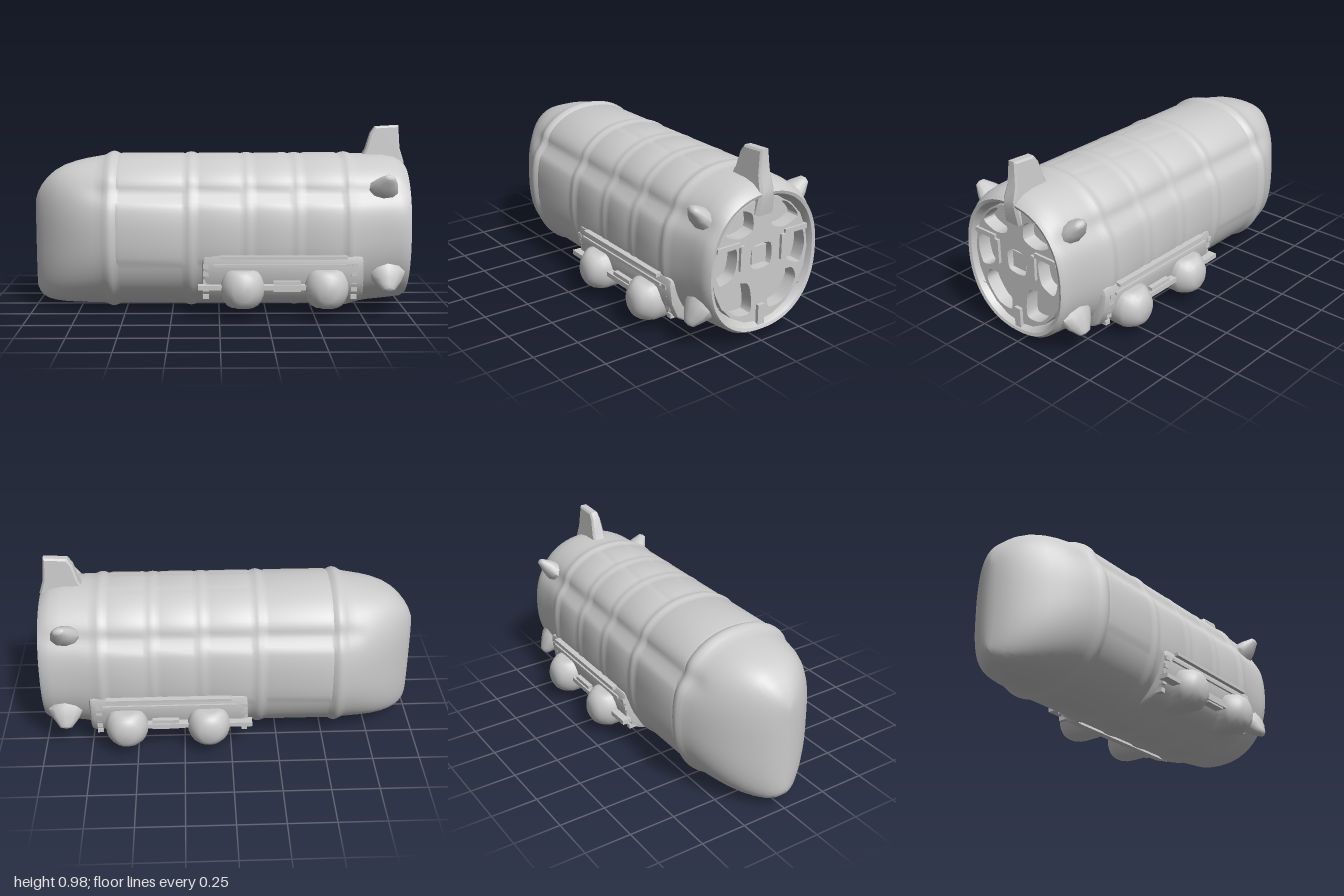
import * as THREE from 'three';
import { toCreasedNormals } from 'three/addons/utils/BufferGeometryUtils.js';

const grey = new THREE.MeshStandardMaterial({ color: 0xcccccc });

function part(parent, name, geometry, crease = 0.6) {
  const mesh = new THREE.Mesh(toCreasedNormals(geometry, crease), grey);
  mesh.name = name;
  parent.add(mesh);
  return mesh;
}

function box(parent, name, x0, x1, y0, y1, z0, z1) {
  const g = new THREE.BoxGeometry(x1 - x0, y1 - y0, z1 - z0);
  g.translate((x0 + x1) / 2, (y0 + y1) / 2, (z0 + z1) / 2);
  return part(parent, name, g);
}

// Outline in (-z, y), extruded along +x from x0 to x1
function extrudeX(shape, x0, x1, bevel = 0) {
  const g = new THREE.ExtrudeGeometry(shape, {
    depth: x1 - x0 - 2 * bevel, curveSegments: 10, bevelEnabled: bevel > 0,
    bevelThickness: bevel, bevelSize: bevel, bevelOffset: -bevel, bevelSegments: 2,
  });
  return g.rotateY(Math.PI / 2).translate(x0 + bevel, 0, 0);
}

// Hull stations: x, bottom, top, half width
const NOSE = [
  [-1, 0.13, 0.57, 0], [-0.995, 0.105, 0.6, 0.035], [-0.98, 0.08, 0.64, 0.08],
  [-0.96, 0.06, 0.675, 0.115], [-0.93, 0.046, 0.712, 0.155], [-0.89, 0.038, 0.748, 0.2],
  [-0.84, 0.033, 0.776, 0.245], [-0.78, 0.03, 0.797, 0.287], [-0.72, 0.028, 0.812, 0.32],
  [-0.66, 0.026, 0.823, 0.345], [-0.62, 0.025, 0.83, 0.358],
];
const TAIL = [
  [0.74, 0.03, 0.838, 0.362], [0.8, 0.04, 0.838, 0.352], [0.88, 0.048, 0.836, 0.347],
  [0.94, 0.055, 0.825, 0.345], [0.98, 0.06, 0.805, 0.34], [1, 0.075, 0.785, 0.327],
  [0.995, 0.09, 0.77, 0.31], [0.97, 0.105, 0.755, 0.298], [0.9, 0.115, 0.745, 0.288],
  [0.9, 0.43, 0.43, 0],
];
// Raised hoops: x, height
const HOOPS = [[-0.57, 0.014], [-0.15, 0.01], [0.15, 0.006], [0.41, 0.006], [0.68, 0.01]];

function hullGeometry() {
  const rows = NOSE.map((s) => [...s, 0]);
  HOOPS.forEach(([x, h], i) => {
    for (const [dx, k] of [[-0.035, 0], [-0.015, 0.75], [0, 1], [0.015, 0.75], [0.035, 0]]) {
      rows.push([x + dx, 0.022, 0.838, 0.365, h * k]);
    }
    // Plating starts and ends between the hoops
    if (i < HOOPS.length - 1) {
      const end = HOOPS[i + 1][0];
      for (const px of [x + 0.05, end - 0.05]) rows.push([px, 0.022, 0.838, 0.365, -1]);
    }
  });
  TAIL.forEach((s) => rows.push([...s, 0]));

  const N = 120, pos = [], idx = [];
  rows.forEach(([x, y0, y1, hz, rib]) => {
    const cy = (y0 + y1) / 2, hy = (y1 - y0) / 2;
    // Sections grow squarer towards the blunt nose
    const p = 2 / (3 - 0.75 * THREE.MathUtils.smoothstep(x, -0.98, -0.6));
    for (let j = 0; j < N; j++) {
      const a = (j / N) * Math.PI * 2, c = Math.cos(a), s = Math.sin(a);
      const z = hz * Math.sign(c) * Math.abs(c) ** p;
      const y = cy + hy * Math.sign(s) * Math.abs(s) ** p;
      // Raised roof and flank panels with shallow gutters between them
      const az = Math.abs(z);
      const roof = y > 0.68 && (x < -0.1 || Math.abs(az - 0.09) > 0.012);
      const flank = az > 0.3 && y > 0.3 && y < 0.6;
      const out = rib >= 0 ? rib : roof || flank ? 0.004 : 0;
      // Broad shoulder groove above the flanks
      const groove = 0.022 * Math.exp(-(((y - 0.66) / 0.045) ** 2))
        * THREE.MathUtils.smoothstep(hz, 0.325, 0.36);
      pos.push(x, y + out * s, z + (out - groove) * c);
    }
  });
  for (let i = 0; i < rows.length - 1; i++) {
    for (let j = 0; j < N; j++) {
      const a = i * N + j, b = i * N + ((j + 1) % N);
      idx.push(a, a + N, b, b, a + N, b + N);
    }
  }
  const g = new THREE.BufferGeometry();
  g.setAttribute('position', new THREE.Float32BufferAttribute(pos, 3));
  g.setIndex(idx);
  return g;
}

// Closed smooth outline through a few points, optionally mirrored
function blob(points, side = 1) {
  const curve = new THREE.CatmullRomCurve3(
    points.map(([u, v]) => new THREE.Vector3(u * side, v, 0)), true, 'catmullrom', 0.4);
  return curve.getPoints(28).map((p) => new THREE.Vector2(p.x, p.y));
}

// Stubby horn lofted from a root to a rounded tip
function horn(root, tip, rx, ry) {
  const a = new THREE.Vector3(...root), b = new THREE.Vector3(...tip);
  const profile = [[1.1, -0.5], [1.05, -0.2], [0.8, 0.1], [0.52, 0.32], [0.36, 0.45], [0, 0.5]];
  const g = new THREE.LatheGeometry(profile.map(([r, h]) => new THREE.Vector2(r, h)), 10);
  const dir = b.clone().sub(a);
  g.scale(rx, dir.length(), ry);
  g.applyQuaternion(new THREE.Quaternion().setFromUnitVectors(
    new THREE.Vector3(0, 1, 0), dir.clone().normalize()));
  g.translate(...a.add(b).multiplyScalar(0.5).toArray());
  return g;
}

// Domed pod along z, squared off above and below
function podGeometry() {
  const profile = [[0.1, 0.24], [0.112, 0.3], [0.113, 0.385], [0.108, 0.405], [0.092, 0.43], [0.074, 0.453], [0.05, 0.469], [0, 0.473]];
  const g = new THREE.LatheGeometry(profile.map(([r, h]) => new THREE.Vector2(r, h)), 24);
  g.rotateX(Math.PI / 2);
  const p = g.attributes.position;
  for (let i = 0; i < p.count; i++) {
    p.setY(i, THREE.MathUtils.clamp(p.getY(i) * 1.1, -0.096, 0.096));
  }
  return g;
}

export function createModel() {
  const model = new THREE.Group();
  model.name = 'capsuleCraft';
  part(model, 'hull', hullGeometry(), 0.65);

  // Rear frame with six pockets and a central recess
  const frame = new THREE.Shape();
  frame.absellipse(0, 0.43, 0.297, 0.324, 0, Math.PI * 2);
  const pockets = [
    [[0.06, 0.6], [0.065, 0.68], [0.125, 0.71], [0.185, 0.67], [0.225, 0.61], [0.14, 0.575]],
    [[0.17, 0.39], [0.15, 0.48], [0.17, 0.54], [0.26, 0.53], [0.278, 0.44], [0.25, 0.36]],
    [[0.06, 0.165], [0.055, 0.25], [0.085, 0.33], [0.2, 0.34], [0.23, 0.27], [0.155, 0.175]],
  ];
  for (const side of [1, -1]) {
    for (const pts of pockets) frame.holes.push(new THREE.Path(blob(pts, side)));
  }
  frame.holes.push(new THREE.Path(blob([[-0.055, 0.4], [-0.055, 0.51], [0.055, 0.51], [0.055, 0.4]])));
  part(model, 'rearFrame', extrudeX(frame, 0.89, 0.972), 0.5);
  box(model, 'rearHub', 0.88, 0.955, 0.41, 0.5, -0.045, 0.045);
  box(model, 'lowerKeel', 0.94, 0.99, 0.09, 0.2, -0.02, 0.02);

  // Tail fin: tapered blade running down over the rear rim
  const fin = new THREE.Shape([
    [0.76, 0.8], [0.795, 0.865], [0.82, 0.95], [0.845, 0.985], [0.97, 0.992],
    [0.978, 0.87], [1, 0.8], [1, 0.76], [0.985, 0.67], [0.9, 0.67],
  ].map(([x, y]) => new THREE.Vector2(x, y)));
  const finGeo = new THREE.ExtrudeGeometry(fin, {
    depth: 0.07, bevelEnabled: true, bevelSize: 0.01, bevelThickness: 0.014, bevelOffset: -0.01, bevelSegments: 1,
  }).translate(0, 0, -0.035);
  const fp = finGeo.attributes.position;
  for (let i = 0; i < fp.count; i++) {
    const t = THREE.MathUtils.clamp((fp.getY(i) - 0.67) / 0.32, 0, 1);
    fp.setZ(i, fp.getZ(i) * (1.15 - 0.65 * t));
  }
  part(model, 'tailFin', finGeo, 0.4);

  for (const side of [1, -1]) {
    const flank = new THREE.Group();
    flank.name = side > 0 ? 'leftFlank' : 'rightFlank';
    flank.scale.z = side;
    model.add(flank);

    part(flank, 'upperHorn', horn([0.85, 0.65, 0.25], [0.88, 0.75, 0.355], 0.075, 0.05), 0.8);
    part(flank, 'lowerHorn', horn([0.88, 0.26, 0.27], [0.88, 0.15, 0.365], 0.09, 0.06), 0.8);
    box(flank, 'rearStrut', 0.94, 0.988, 0.41, 0.54, 0.115, 0.14);
    box(flank, 'rearBar', 0.94, 0.985, 0.535, 0.56, 0.14, 0.28);

    // Fairing that carries the pods
    const fairing = new THREE.Shape([
      [0.2, 0.06], [0.28, 0.085], [0.33, 0.12], [0.365, 0.2], [0.378, 0.3], [0.37, 0.335], [0.25, 0.345],
    ].map(([z, y]) => new THREE.Vector2(-z, y)).reverse());
    part(flank, 'fairing', extrudeX(fairing, -0.09, 0.75, 0.025), 0.7);
    box(flank, 'upperRail', 0, 0.66, 0.325, 0.342, 0.36, 0.395);
    box(flank, 'ledge', -0.03, 0.68, 0.285, 0.3, 0.36, 0.388);
    box(flank, 'connectingRail', -0.11, 0.66, 0.165, 0.19, 0.35, 0.4);
    box(flank, 'couplingBar', 0.28, 0.42, 0.155, 0.21, 0.34, 0.392);

    for (const x of [0.12, 0.555]) {
      part(flank, 'pod', podGeometry(), 0.8).position.set(x, 0.17, 0);
    }
    // Rivet blocks at both ends of the fairing
    for (const x of [-0.07, 0.7]) {
      for (let i = 0; i < 5; i++) {
        const y = 0.12 + i * 0.042, z = 0.345 + i * 0.009;
        box(flank, 'rivet', x - 0.015, x + 0.015, y - 0.012, y + 0.012, z - 0.06, z);
      }
    }
  }
  return model;
}
